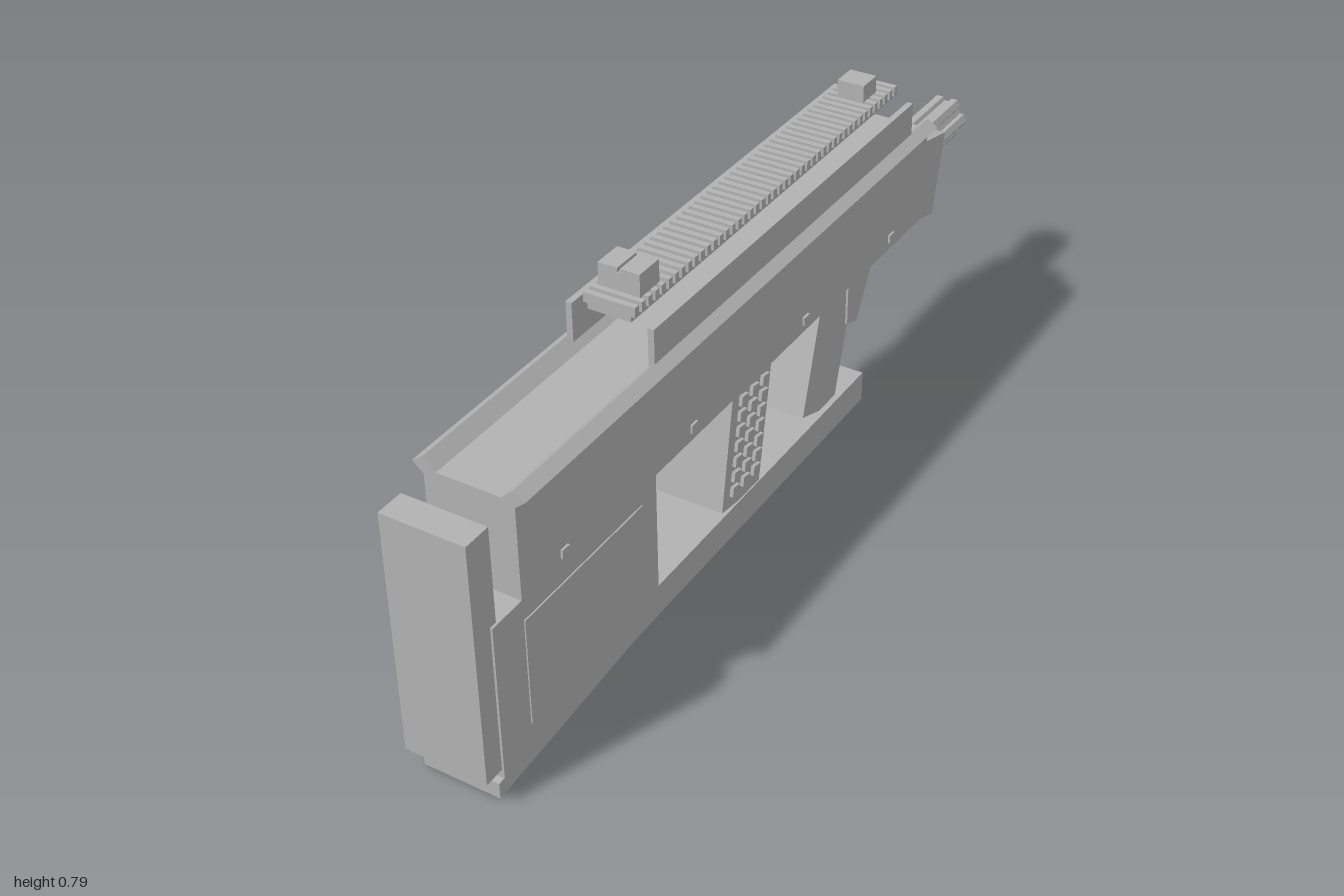
import * as THREE from 'three';

export function createModel() {
  const model = new THREE.Group();
  const gray = new THREE.MeshStandardMaterial({ color: 0xb2b2b2 });
  gray.name = 'matte gray';

  function add(name, geometry, parent = model) {
    const mesh = new THREE.Mesh(geometry, gray);
    mesh.name = name;
    parent.add(mesh);
    return mesh;
  }
  function group(name) {
    const g = new THREE.Group();
    g.name = name;
    model.add(g);
    return g;
  }
  // Box given by its limits on each axis
  function box(name, x0, x1, y0, y1, z0, z1, parent) {
    const g = new THREE.BoxGeometry(x1 - x0, y1 - y0, z1 - z0);
    g.translate((x0 + x1) / 2, (y0 + y1) / 2, (z0 + z1) / 2);
    return add(name, g, parent);
  }
  // Side outline of [z, y] points, extruded across x
  function side(name, points, halfWidth, parent) {
    const shape = new THREE.Shape(points.map(([z, y]) => new THREE.Vector2(-z, y)));
    const g = new THREE.ExtrudeGeometry(shape, { depth: 2 * halfWidth, bevelEnabled: false });
    g.translate(0, 0, -halfWidth);
    g.rotateY(Math.PI / 2);
    return add(name, g, parent);
  }
  // Cross-section of [x, y] points, extruded along z
  function along(name, points, z0, z1, parent) {
    const shape = new THREE.Shape(points.map(([x, y]) => new THREE.Vector2(x, y)));
    const g = new THREE.ExtrudeGeometry(shape, { depth: z1 - z0, bevelEnabled: false });
    g.translate(0, 0, z0);
    return add(name, g, parent);
  }

  // Receiver with V-shaped flanges along its top edges
  const half = [[0.095, 0.39], [0.095, 0.6], [0.118, 0.62], [0.094, 0.637], [0.068, 0.612]];
  const mirrored = half.map(([x, y]) => [-x, y]).reverse();
  along('receiver', [...half, ...mirrored], -0.69, 0.87);

  // Stock, butt plate and sloping foot
  side('stock', [[0.44, 0.39], [0.44, 0.05], [0.955, 0.05], [0.955, 0.4], [0.86, 0.4], [0.86, 0.39]], 0.095);
  box('buttPlate', -0.09, 0.09, 0.07, 0.605, 0.938, 1);
  side('stockFoot', [[0.96, 0], [0.96, 0.036], [0.75, 0.052], [0.44, 0.052], [0.44, 0.04]], 0.085);

  // Lower rail joining the stock and the grips
  box('lowerRail', -0.088, 0.088, 0.04, 0.112, -0.43, 0.445);

  // Nose housing
  side('noseHousing', [[-0.64, 0.575], [-0.69, 0.575], [-0.8, 0.552], [-0.755, 0.365], [-0.65, 0.391]], 0.088);

  // Barrel and fluted muzzle
  const barrel = new THREE.CylinderGeometry(0.028, 0.028, 0.1, 16);
  barrel.rotateX(Math.PI / 2);
  add('barrel', barrel).position.set(0, 0.485, -0.79);
  const flutes = [];
  for (let i = 0; i < 6; i++) {
    for (const [deg, r] of [[-21, 0.038], [-17, 0.047], [0, 0.053], [17, 0.047], [21, 0.038]]) {
      const a = (i * 60 + deg) * Math.PI / 180;
      flutes.push([r * Math.cos(a), 0.485 + r * Math.sin(a)]);
    }
  }
  along('muzzle', flutes, -1, -0.827);

  // Rear grip with studded sides
  side('rearGrip', [[0.137, 0.395], [-0.017, 0.395], [0.035, 0.1], [0.182, 0.122]], 0.085);
  const studs = group('gripStuds');
  for (const s of [-1, 1]) {
    for (let row = 0; row < 7; row++) {
      for (let col = 0; col < 3; col++) {
        const stud = add('stud', new THREE.BoxGeometry(0.012, 0.022, 0.026), studs);
        stud.position.set(s * 0.087, 0.155 + row * 0.034, 0.138 - col * 0.042 - row * 0.0059);
        stud.rotation.x = -0.17;
      }
    }
  }

  // Trigger and front grip
  side('trigger', [[-0.085, 0.395], [-0.107, 0.395], [-0.099, 0.325], [-0.118, 0.318],
    [-0.114, 0.292], [-0.098, 0.297], [-0.094, 0.31], [-0.076, 0.32]], 0.014);
  side('frontGrip', [[-0.25, 0.395], [-0.175, 0.138], [-0.25, 0.112], [-0.25, 0.1],
    [-0.318, 0.1], [-0.37, 0.275], [-0.37, 0.395]], 0.075);
  side('frontGripStop', [[-0.36, 0.395], [-0.44, 0.395], [-0.467, 0.375], [-0.405, 0.262], [-0.36, 0.278]], 0.08);

  // Side walls, raised stock panels and pins on both sides
  for (const s of [-1, 1]) {
    const span = (a, b) => (s > 0 ? [a, b] : [-b, -a]);
    box('sideWall', ...span(0.082, 0.0955), 0.61, 0.71, -0.605, 0.435);
    box('stockPanel', ...span(0.09, 0.098), 0.112, 0.354, 0.49, 0.868);
    for (const z of [0.74, 0.305, -0.137, -0.525]) {
      box('pin', ...span(0.09, 0.1), 0.409, 0.428, z - 0.011, z + 0.011);
    }
  }

  // Small vent on the one side of the stock
  for (let i = 0; i < 3; i++) {
    box('vent', -0.0985, -0.09, 0.493, 0.522, 0.69 + i * 0.024, 0.707 + i * 0.024);
  }

  // Toothed top rail
  const rail = group('topRail');
  box('railBase', -0.047, 0.047, 0.71, 0.724, -0.605, 0.435, rail);
  const teeth = 46;
  for (let i = 0; i < teeth; i++) {
    const z = -0.605 + i * (1.04 - 0.013) / (teeth - 1);
    box('railTooth', -0.056, 0.056, 0.722, 0.743, z, z + 0.013, rail);
  }

  // Sights
  const rear = group('rearSight');
  box('rearSightBase', -0.045, 0.045, 0.742, 0.782, 0.335, 0.4, rear);
  for (const s of [-1, 1]) {
    box('rearSightEar', s * 0.024 - 0.021, s * 0.024 + 0.021, 0.78, 0.791, 0.335, 0.4, rear);
  }
  box('frontSight', -0.031, 0.031, 0.742, 0.781, -0.553, -0.495);

  model.position.x = -0.001;
  return model;
}
